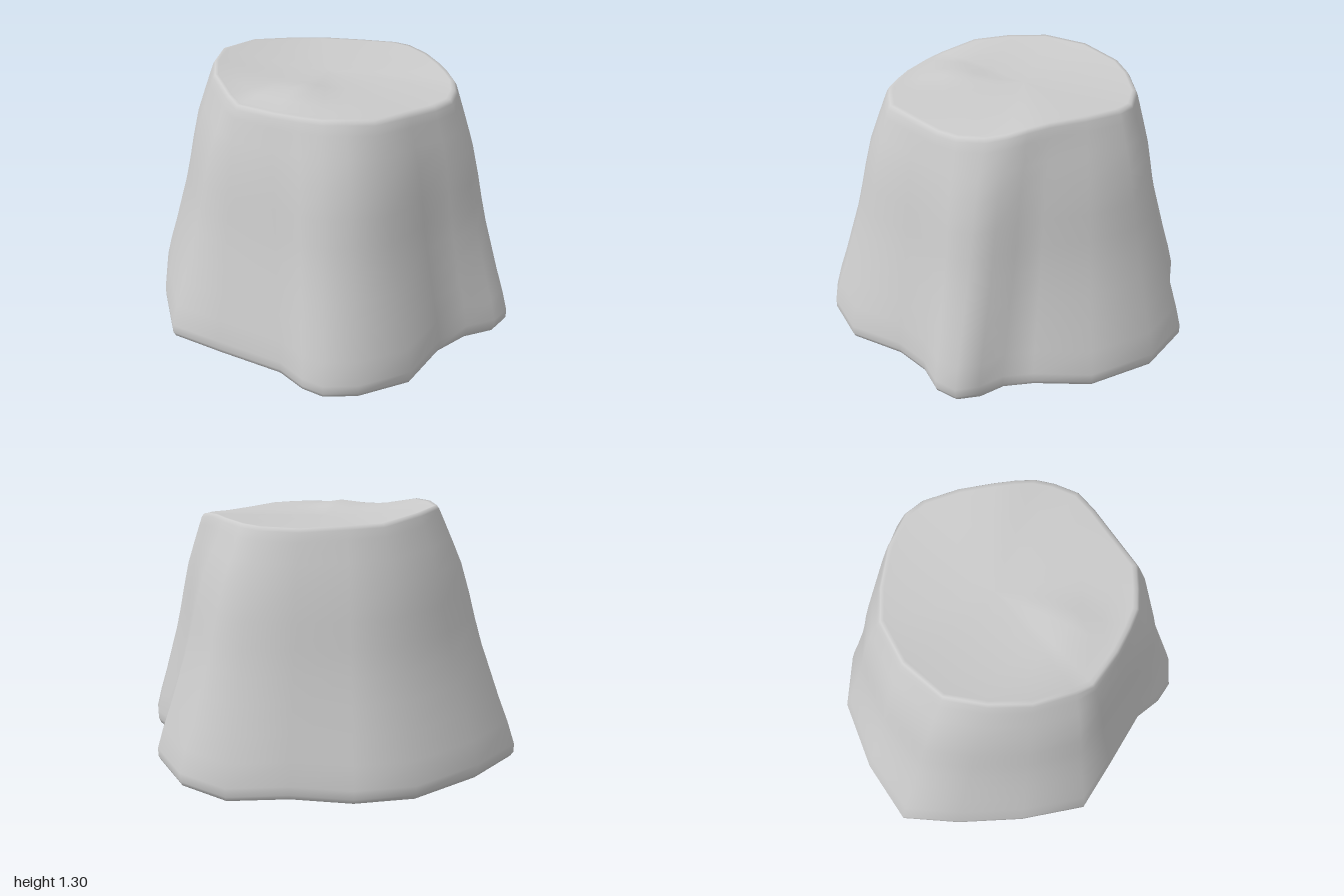
import * as THREE from 'three';

// One spoke per entry, clockwise from the back: foot x, foot z, rim x, rim z, rim height
const SPOKES = [
  [-0.27, -1.0, -0.22, -0.55, 1.3], [0.08, -0.94, 0.03, -0.57, 1.29], [0.45, -0.79, 0.27, -0.5, 1.26],
  [0.65, -0.57, 0.40, -0.38, 1.255], [0.77, -0.29, 0.54, -0.2, 1.245], [0.945, -0.05, 0.61, -0.02, 1.25],
  [0.93, 0.24, 0.6, 0.09, 1.255], [0.76, 0.54, 0.52, 0.26, 1.26], [0.52, 0.69, 0.42, 0.41, 1.26],
  [0.41, 0.79, 0.36, 0.5, 1.25], [0.36, 0.91, 0.3, 0.58, 1.235], [0.28, 0.99, 0.22, 0.64, 1.22],
  [0.16, 0.99, 0.1, 0.69, 1.215], [0.02, 0.91, -0.02, 0.68, 1.21], [-0.17, 0.875, -0.18, 0.645, 1.215],
  [-0.46, 0.91, -0.38, 0.6, 1.225], [-0.7, 0.79, -0.47, 0.51, 1.23], [-0.81, 0.67, -0.54, 0.43, 1.23],
  [-0.83, 0.56, -0.58, 0.33, 1.23], [-0.81, 0.4, -0.62, 0.2, 1.23], [-0.89, 0.06, -0.65, 0.0, 1.23],
  [-0.95, -0.22, -0.62, -0.09, 1.25], [-0.75, -0.52, -0.53, -0.28, 1.29], [-0.51, -0.79, -0.39, -0.43, 1.3],
];
const N = SPOKES.length;

// Flare of the trunk: height fraction, blend from rim to foot
const FLARE = [
  [0.985, 0.0], [0.95, 0.05], [0.87, 0.16], [0.78, 0.28], [0.66, 0.39], [0.56, 0.47],
  [0.46, 0.56], [0.36, 0.67], [0.25, 0.79], [0.15, 0.91], [0.06, 1.0], [0.025, 1.0], [0.006, 0.965], [0, 0.9],
];

// Skin a list of rings, each with one point per spoke
function skin(name, rings, material) {
  const index = [];
  for (let i = 0; i < rings.length - 1; i++) {
    for (let j = 0; j < N; j++) {
      const k = (j + 1) % N;
      const a = i * N + j, b = i * N + k, c = a + N, d = b + N;
      index.push(a, b, d, a, d, c);
    }
  }
  const geometry = new THREE.BufferGeometry();
  geometry.setAttribute('position', new THREE.Float32BufferAttribute(rings.flat(2), 3));
  geometry.setIndex(index);
  geometry.computeVertexNormals();
  const mesh = new THREE.Mesh(geometry, material);
  mesh.name = name;
  return mesh;
}

// Point on the uneven cut face, s = 0 at the middle and 1 at the rim
function cutPoint([, , x, z, h], s) {
  const px = x * s, pz = z * s;
  const bump = 0.04 * Math.exp(-((px + 0.38) ** 2 + (pz - 0.1) ** 2) / 0.025);
  const y = THREE.MathUtils.lerp(1.235, h, s * s) + bump * (1 - s ** 6);
  return [px, y, pz];
}

export function createModel() {
  const group = new THREE.Group();
  group.name = 'stump';
  const material = new THREE.MeshStandardMaterial({ color: 0xcccccc });

  // Uneven cut face
  const cut = [0, 0.2, 0.4, 0.6, 0.78, 0.9, 0.95].map(s => SPOKES.map(p => cutPoint(p, s)));
  group.add(skin('cutTop', cut, material));

  // Bark: softened rim, then the flare down to the roots
  const rim = [0.95, 0.98].map(s => SPOKES.map(p => cutPoint(p, s)));
  const sides = FLARE.map(([f, t]) => SPOKES.map(([fx, fz, x, z, h]) => [
    THREE.MathUtils.lerp(x, fx, t), f * h, THREE.MathUtils.lerp(z, fz, t),
  ]));
  group.add(skin('bark', [...rim, ...sides], material));

  // Flat underside
  const edge = sides[sides.length - 1];
  const underside = [edge, edge.map(() => [0, 0, 0])];
  group.add(skin('underside', underside, material));
  return group;
}
